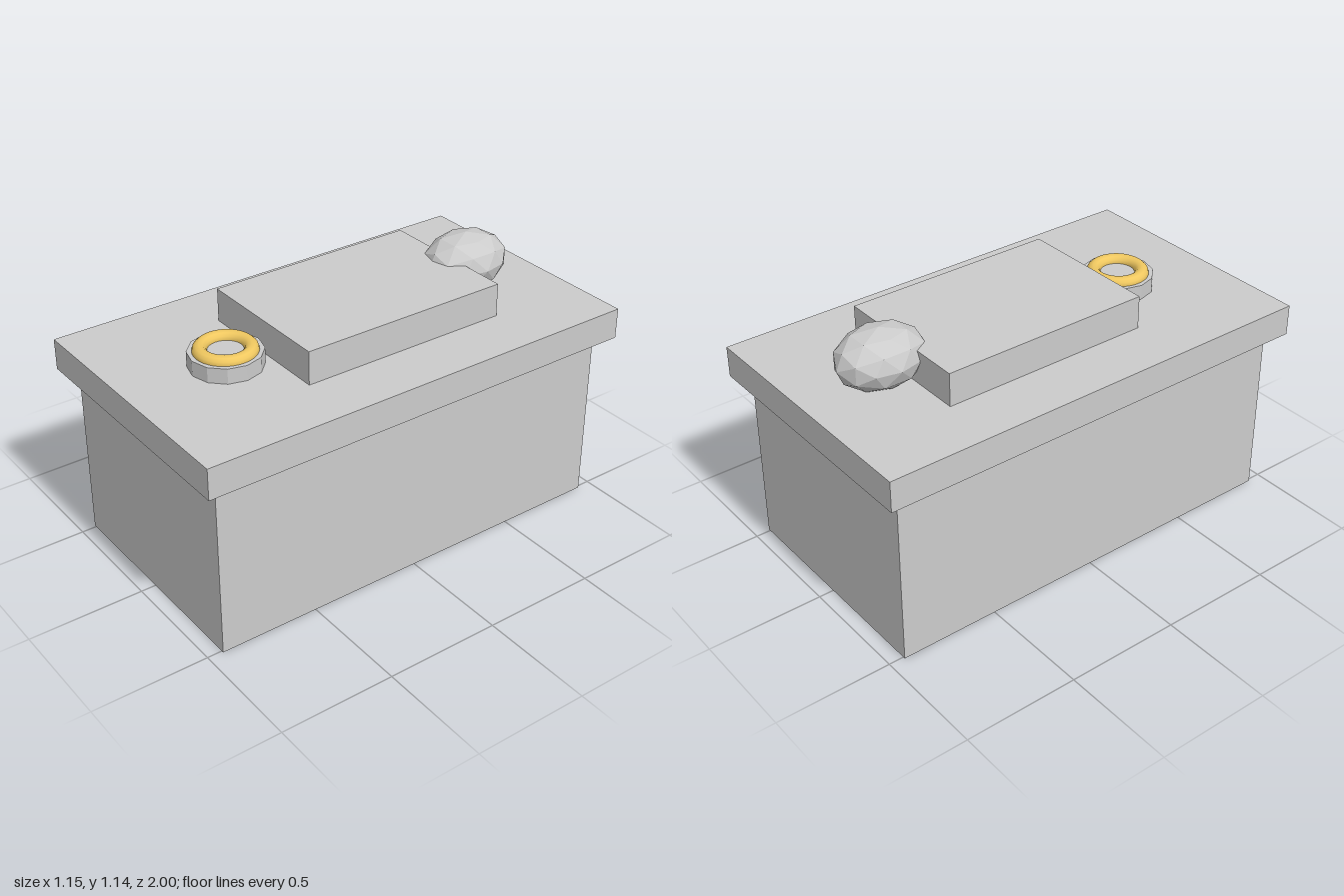
import * as THREE from 'three';

export function createModel() {
  const group = new THREE.Group();
  const grey = new THREE.MeshStandardMaterial({ color: 0xcccccc, flatShading: true });
  const gold = new THREE.MeshStandardMaterial({ color: 0xf0c860 });

  const add = (name, geometry, material, x, y, z) => {
    const mesh = new THREE.Mesh(geometry, material);
    mesh.name = name;
    mesh.position.set(x, y, z);
    group.add(mesh);
    return mesh;
  };
  // Box standing between two heights
  const slab = (name, width, bottom, top, depth, z = 0) =>
    add(name, new THREE.BoxGeometry(width, top - bottom, depth), grey, 0, (bottom + top) / 2, z);

  // Plinth, overhanging top and raised panel
  slab('base', 1.02, 0, 0.77, 1.87);
  slab('topSlab', 1.15, 0.77, 0.905, 2);
  slab('raisedPanel', 0.64, 0.905, 1.05, 0.94, -0.085);

  // Low faceted pedestal with a gold ring resting in its top
  add('ringPedestal', new THREE.CylinderGeometry(0.153, 0.153, 0.067, 12), grey, 0, 0.9375, 0.553);
  const ring = add('goldRing', new THREE.TorusGeometry(0.102, 0.03, 12, 40), gold, 0, 0.971, 0.553);
  ring.rotation.x = Math.PI / 2;

  // Faceted rounded stone, partly sunk into the slab and panel
  const stone = add('stone', new THREE.IcosahedronGeometry(1, 1), grey, 0, 1.01, -0.65);
  stone.scale.set(0.152, 0.127, 0.195);

  return group;
}
